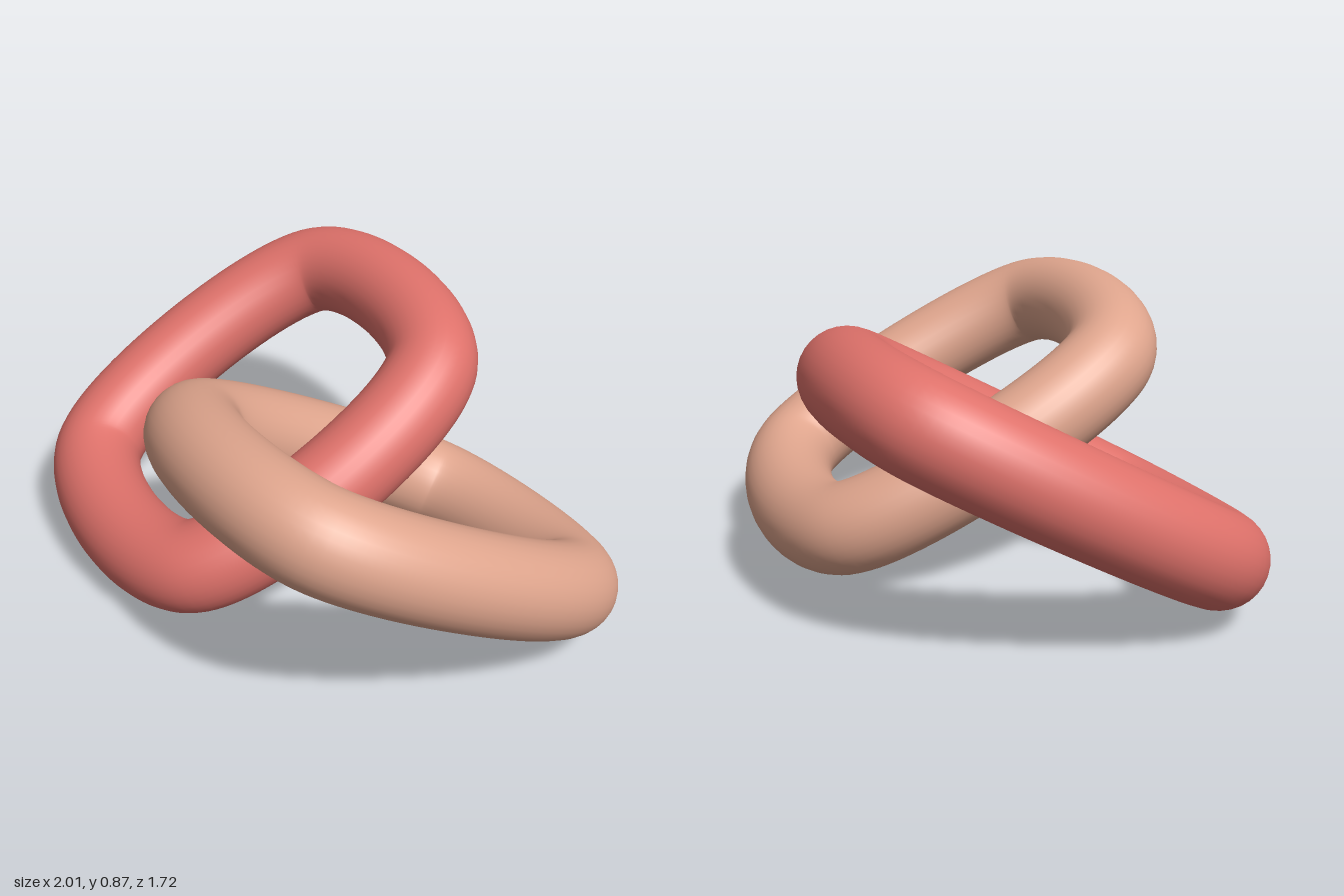
import * as THREE from 'three';

const TUBE_RADIUS = 0.147;

// Centre of one link, and half of each diagonal of its rounded square
const CENTRE = new THREE.Vector3(0.315, 0.447, 0.155);
const DIAGONAL_A = new THREE.Vector3(0.09, 0.26, 0.555);
const DIAGONAL_B = new THREE.Vector3(0.535, -0.215, -0.19);

function makeLink(name, material) {
  const corners = [[DIAGONAL_A, 1], [DIAGONAL_B, 1], [DIAGONAL_A, -1], [DIAGONAL_B, -1]]
    .map(([diagonal, sign]) => CENTRE.clone().addScaledVector(diagonal, sign));
  const path = new THREE.CatmullRomCurve3(corners, true);
  const mesh = new THREE.Mesh(new THREE.TubeGeometry(path, 160, TUBE_RADIUS, 32, true), material);
  mesh.name = name;
  return mesh;
}

export function createModel() {
  const tan = new THREE.MeshStandardMaterial({ color: 0xdfa58d });
  tan.name = 'tan';
  const red = new THREE.MeshStandardMaterial({ color: 0xde716a });
  red.name = 'coral red';

  const model = new THREE.Group();
  model.name = 'interlockedLinks';

  const tanLink = makeLink('tanLink', tan);
  // The second link is the first turned half way round the vertical axis
  const redLink = makeLink('redLink', red);
  redLink.rotation.y = Math.PI;

  model.add(tanLink, redLink);
  return model;
}
